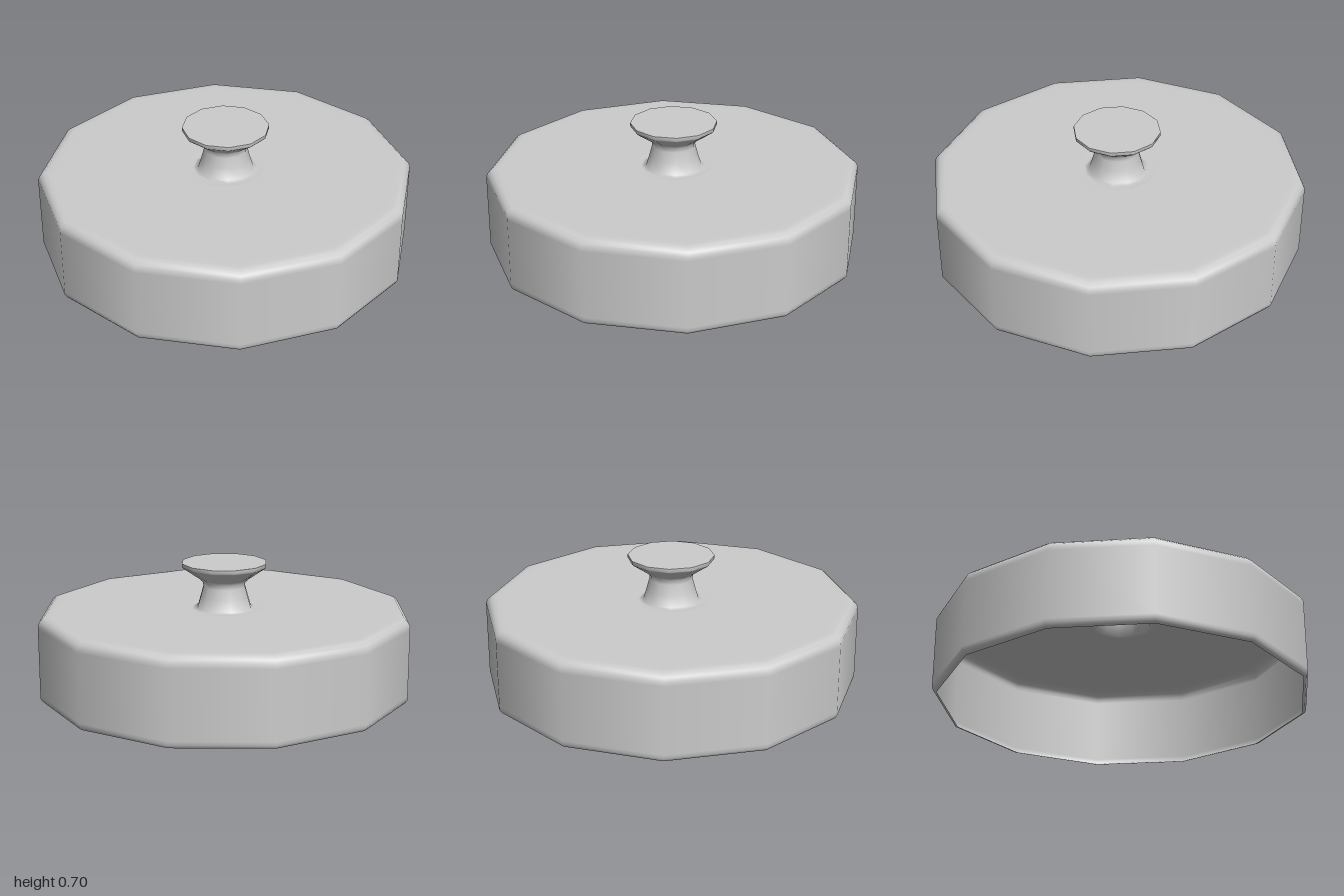
import * as THREE from 'three';

const SIDES = 12;

export function createModel() {
  const group = new THREE.Group();
  const material = new THREE.MeshStandardMaterial({ color: 0xcccccc, side: THREE.DoubleSide });

  // Twelve-sided turned part from [radius, height] pairs, listed bottom to top
  function turned(name, profile) {
    const points = profile.map(([r, y]) => new THREE.Vector2(r, y));
    const mesh = new THREE.Mesh(new THREE.LatheGeometry(points, SIDES), material);
    mesh.name = name;
    group.add(mesh);
  }

  // Hollow lid: wall open at the bottom, softened shoulder, top with a central hole
  turned('lidShell', [
    [0.975, 0], [0.99, 0.004], [1, 0.02], [1, 0.04], [1, 0.40], [1, 0.42],
    [0.99, 0.44], [0.97, 0.457], [0.94, 0.46], [0.9, 0.46], [0.21, 0.46],
  ]);

  // Hollow stem flaring out into the lid and up to the knob
  turned('knobStem', [
    [0.21, 0.46], [0.175, 0.457], [0.148, 0.46], [0.13, 0.52], [0.115, 0.575],
    [0.116, 0.60], [0.13, 0.615], [0.222, 0.679],
  ]);

  // Knob rim and flat cap
  turned('knobRim', [[0.222, 0.679], [0.23, 0.687], [0.23, 0.705]]);
  turned('knobCap', [[0.23, 0.705], [0, 0.705]]);

  return group;
}
